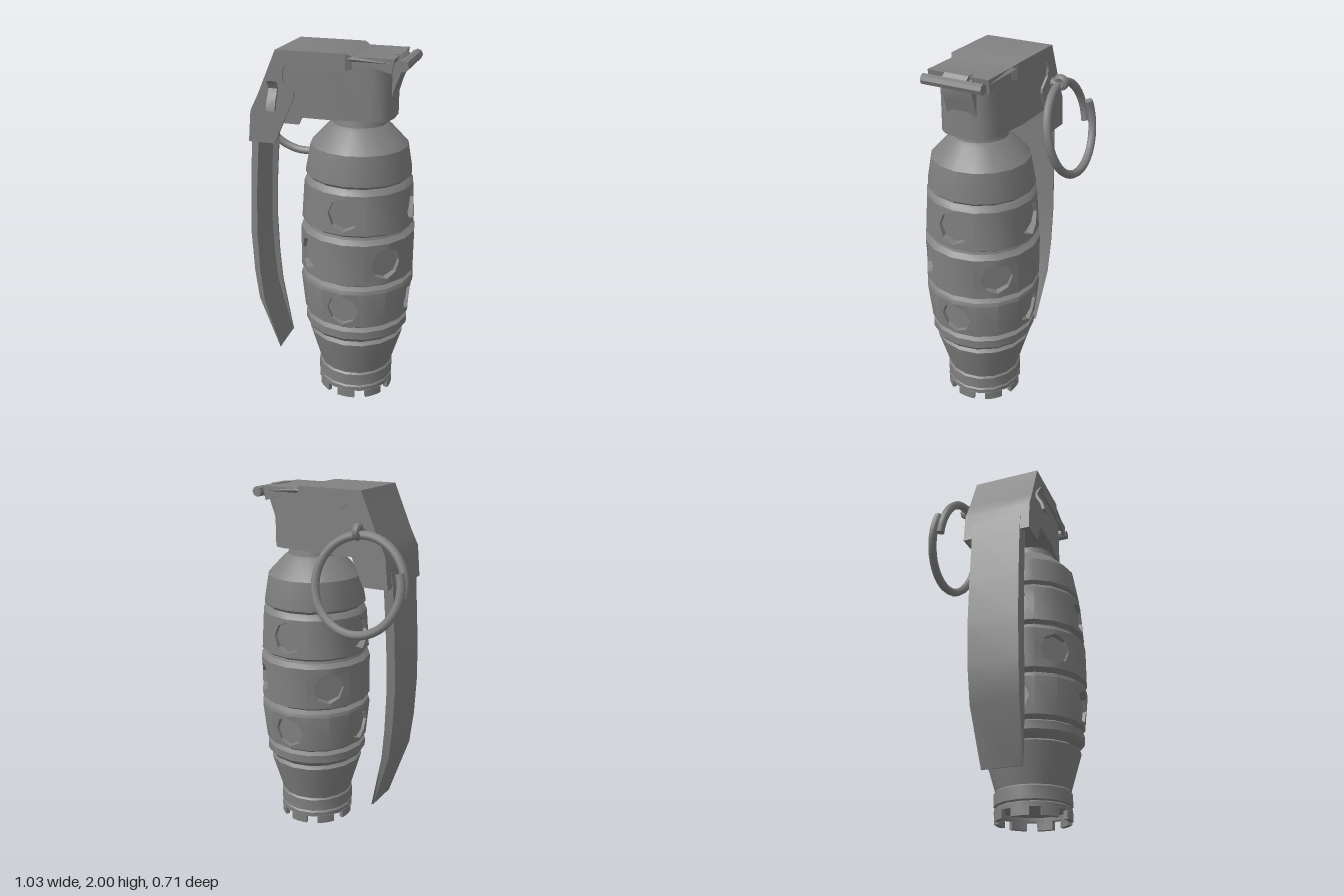
import * as THREE from 'three';
import { mergeGeometries, toCreasedNormals } from 'three/addons/utils/BufferGeometryUtils.js';

const AX = 0.2, CZ = 0.03;          // body axis
const HZ = 0.025;                   // head centre in z
const mat = new THREE.MeshStandardMaterial({ color: 0x808080, side: THREE.DoubleSide });

const v2 = pts => pts.map(p => new THREE.Vector2(p[0], p[1]));

function add(parent, name, geo, x = 0, y = 0, z = 0, crease = 0.5) {
  const mesh = new THREE.Mesh(crease ? toCreasedNormals(geo, crease) : geo, mat);
  mesh.name = name;
  mesh.position.set(x, y, z);
  parent.add(mesh);
  return mesh;
}

// position-only, non-indexed copy so that pieces can be merged
function bare(geo) {
  const g = geo.index ? geo.toNonIndexed() : geo;
  g.deleteAttribute('uv');
  g.deleteAttribute('normal');
  return g;
}

// skin a list of equal-length closed loops
function skin(loops, cap = true) {
  const pos = [], n = loops[0].length;
  const tri = (...p) => p.forEach(q => pos.push(...q));
  for (let i = 0; i + 1 < loops.length; i++) for (let k = 0; k < n; k++) {
    const a = loops[i][k], b = loops[i][(k + 1) % n], c = loops[i + 1][(k + 1) % n], d = loops[i + 1][k];
    tri(a, b, c);
    tri(a, c, d);
  }
  if (cap) for (let k = 0; k < n / 2 - 1; k++) for (const l of [loops[0], loops[loops.length - 1]]) {
    tri(l[k], l[k + 1], l[n - 2 - k]);
    tri(l[k], l[n - 2 - k], l[n - 1 - k]);
  }
  const g = new THREE.BufferGeometry();
  g.setAttribute('position', new THREE.Float32BufferAttribute(pos, 3));
  return g;
}

// one eighth of a band with an octagonal recess, following the 16-sided body
function recessPanel(y0, y1, r0, r1, mid) {
  const step = Math.PI / 8, ym = (y0 + y1) / 2, rm = (r0 + r1) / 2, hole = 0.09;
  const onBody = (t, y) => {
    const f = ((t % step) + step) % step - step / 2;
    const r = (r0 + (r1 - r0) * (y - y0) / (y1 - y0)) * Math.cos(step / 2) / Math.cos(f);
    return [r * Math.sin(mid + t), y, r * Math.cos(mid + t)];
  };
  const onFloor = (u, y) => {
    const d = rm - 0.036, s = Math.sin(mid), c = Math.cos(mid);
    return [d * s + u * c, y, d * c - u * s];
  };
  const rim = [], edge = [], floor = [], centre = [];
  for (let k = 0; k < 16; k++) {
    const a = k * step, c = Math.cos(a), s = Math.sin(a), m = Math.max(Math.abs(c), Math.abs(s));
    const h = hole * (k % 2 ? Math.cos(step) : 1);
    rim.push(onBody(c / m * step, ym + s / m * (y1 - y0) / 2));
    edge.push(onBody(c * h / rm, ym + s * h));
    floor.push(onFloor(c * h * 0.95, ym + s * h * 0.95));
    centre.push(onFloor(0, ym));
  }
  return skin([rim, edge, floor, centre], false);
}

function buildBody() {
  const parts = [];
  const lathe = (pts, ...arc) => parts.push(bare(new THREE.LatheGeometry(v2(pts), ...(arc.length ? arc : [16]))));
  // hollow foot, taper and lower grooves
  lathe([[0, 0.07], [0.19, 0.07], [0.19, 0.045], [0.215, 0.045], [0.215, 0.07], [0.205, 0.078], [0.217, 0.085],
    [0.217, 0.155], [0.208, 0.165], [0.27, 0.375], [0.272, 0.385], [0.25, 0.4], [0.28, 0.42], [0.294, 0.44],
    [0.294, 0.485], [0.268, 0.5], [0.298, 0.52]]);
  // grooves between bands
  lathe([[0.32, 0.73], [0.312, 0.75], [0.285, 0.765], [0.318, 0.785]]);
  lathe([[0.318, 1.02], [0.29, 1.042], [0.285, 1.057], [0.312, 1.075]]);
  // shoulder and neck
  lathe([[0.298, 1.29], [0.288, 1.305], [0.27, 1.32], [0.29, 1.337], [0.29, 1.35], [0.264, 1.495], [0.17, 1.595],
    [0.148, 1.61], [0.14, 1.66], [0, 1.66]]);
  // bands: recessed and plain panels alternate
  const bands = [[0.52, 0.73, 0.298, 0.32, 0], [0.785, 1.02, 0.318, 0.318, 1], [1.075, 1.29, 0.312, 0.298, 0]];
  for (const [y0, y1, r0, r1, shift] of bands) for (let k = 0; k < 4; k++) {
    const mid = (k + shift / 2) * Math.PI / 2;
    parts.push(recessPanel(y0, y1, r0, r1, mid));
    lathe([[r0, y0], [r1, y1]], 2, mid + Math.PI / 8, Math.PI / 4);
  }
  return mergeGeometries(parts);
}

// half width of the head cover along x
const halfWidth = x => x < 0.175 ? 0.197 - 0.012 * (x + 0.36) : 0.17;

// side profile extruded in z; vertices then follow the cover's width
function profile(pts, place) {
  const g = new THREE.ExtrudeGeometry(new THREE.Shape(v2(pts)), { depth: 1, bevelEnabled: false });
  const p = g.attributes.position;
  for (let i = 0; i < p.count; i++) p.setZ(i, HZ + place(p.getX(i), p.getZ(i)));
  return g;
}

export function createModel() {
  const model = new THREE.Group();

  add(model, 'body', buildBody(), AX, 0, CZ);

  // castellated foot
  const foot = new THREE.Group();
  foot.name = 'footTeeth';
  for (let k = 0; k < 8; k++) {
    const a = k * Math.PI / 4, h = Math.PI / 13;
    const s = new THREE.Shape();
    s.absarc(0, 0, 0.215, a - h, a + h, false);
    s.absarc(0, 0, 0.19, a + h, a - h, true);
    const g = new THREE.ExtrudeGeometry(s, { depth: 0.047, bevelEnabled: false, curveSegments: 2 });
    add(foot, 'tooth', g.rotateX(-Math.PI / 2), AX, 0, CZ);
  }
  model.add(foot);

  // head block, rounded at the hinge end
  const side = [[-0.2, 0.183], [0.1, 0.18], [0.19, 0.163], [0.3, 0.16], [0.35, 0.143], [0.382, 0.105], [0.394, 0.05]];
  const plan = v2([...side, ...side.map(([x, z]) => [x, -z]).reverse()]);
  const block = new THREE.ExtrudeGeometry(new THREE.Shape(plan), { depth: 0.31, bevelEnabled: false });
  add(model, 'headBlock', block.rotateX(-Math.PI / 2), 0, 1.65, HZ, 0.7);

  // folded cover: roof and two side flaps, each flap in three lengths
  add(model, 'coverRoof', profile([[-0.36, 1.5], [-0.345, 1.67], [-0.3, 1.76], [-0.2, 1.995], [0.17, 1.995],
    [0.2, 1.98], [0.415, 1.98], [0.41, 1.955], [0.2, 1.955], [0.17, 1.97], [-0.185, 1.97], [-0.28, 1.76],
    [-0.325, 1.67], [-0.34, 1.5]], (x, z) => (z > 0.5 ? 1 : -1) * halfWidth(x)));
  const flap = [
    [[-0.36, 1.5], [-0.215, 1.5], [-0.1, 1.76], [-0.105, 1.785], [-0.16, 1.835], [-0.165, 1.88], [-0.15, 1.915],
      [-0.125, 1.92], [-0.08, 1.895], [0.08, 1.9], [0.17, 1.912], [0.17, 1.995], [-0.2, 1.995], [-0.3, 1.76],
      [-0.345, 1.67]],
    [[0.17, 1.912], [0.2, 1.916], [0.2, 1.98], [0.17, 1.995]],
    [[0.2, 1.916], [0.3, 1.935], [0.4, 1.905], [0.415, 1.98], [0.2, 1.98]]];
  for (const s of [1, -1]) add(model, s > 0 ? 'coverFlapFront' : 'coverFlapBack',
    mergeGeometries(flap.map(f => profile(f, (x, z) => s * (halfWidth(x) - 0.016 * z)))));

  // hinge: lip, supporting rib and cross bar
  add(model, 'hingeLip', profile([[0.385, 1.985], [0.425, 1.985], [0.46, 1.95], [0.44, 1.925], [0.385, 1.95]],
    (x, z) => (z - 0.5) * 0.134));
  add(model, 'hingeRib', profile([[0.385, 1.975], [0.43, 1.96], [0.435, 1.91], [0.405, 1.83], [0.385, 1.76]],
    (x, z) => (z - 0.5) * 0.17));
  const bar = new THREE.CylinderGeometry(0.028, 0.028, 0.335, 8).rotateX(Math.PI / 2);
  add(model, 'hingeBar', bar, 0.458, 1.946, HZ);

  // safety lever: bent channel, listed as x, y, half width, flange depth
  const stations = [[-0.34, 1.68, 0.16, 0.045], [-0.365, 1.5, 0.16, 0.045], [-0.382, 1.2, 0.16, 0.042],
    [-0.39, 0.94, 0.16, 0.042], [-0.378, 0.7, 0.158, 0.04], [-0.357, 0.52, 0.152, 0.037], [-0.25, 0.19, 0.115, 0.008]];
  add(model, 'lever', skin(stations.map(([x, y, w, d]) => {
    const t = Math.min(0.014, d * 0.8), i = w - 0.016;
    return [[x + d, y, -w], [x, y, -i], [x, y, i], [x + d, y, w],
      [x + d, y, w - 0.012], [x + t, y, i - 0.008], [x + t, y, 0.008 - i], [x + d, y, 0.012 - w]]
      .map(p => [p[0], p[1], p[2] + HZ]);
  })));

  // split pin with eye and flat curved tails
  const pin = new THREE.CylinderGeometry(0.024, 0.024, 0.43, 8).rotateX(Math.PI / 2);
  add(model, 'pin', pin, -0.212, 1.79, 0.01);
  add(model, 'pinEye', new THREE.TorusGeometry(0.026, 0.02, 8, 12).rotateY(Math.PI / 2), -0.212, 1.797, -0.222);
  const tail = [[1.838, 0.25], [1.822, 0.235], [1.795, 0.222], [1.765, 0.235], [1.73, 0.255], [1.685, 0.266]];
  add(model, 'pinTails', skin(tail.map(([y, z]) => [[-0.236, y, z - 0.008], [-0.188, y, z - 0.008],
    [-0.188, y + 0.004, z + 0.008], [-0.236, y + 0.004, z + 0.008]])));

  // pull ring: one turn with overlapping, flat-cut ends
  const path = [], turns = 32;
  for (let i = 0; i <= turns; i++) {
    const a = -3.5 + i / turns * 6.8;
    path.push(new THREE.Vector3(-0.24 + 0.251 * Math.cos(a), 1.535 + 0.246 * Math.sin(a),
      -0.27 + 0.053 * Math.sin(a) + 0.022 * a / Math.PI));
  }
  const ring = new THREE.Group();
  ring.name = 'pullRing';
  const curve = new THREE.CatmullRomCurve3(path);
  add(ring, 'ringWire', new THREE.TubeGeometry(curve, 48, 0.0235, 8), 0, 0, 0, 0);
  for (const t of [0, 1]) {
    const end = add(ring, 'ringEnd', new THREE.CircleGeometry(0.0235, 8), ...curve.getPoint(t).toArray(), 0);
    end.lookAt(end.position.clone().addScaledVector(curve.getTangent(t), t ? 1 : -1));
  }
  model.add(ring);

  return model;
}
